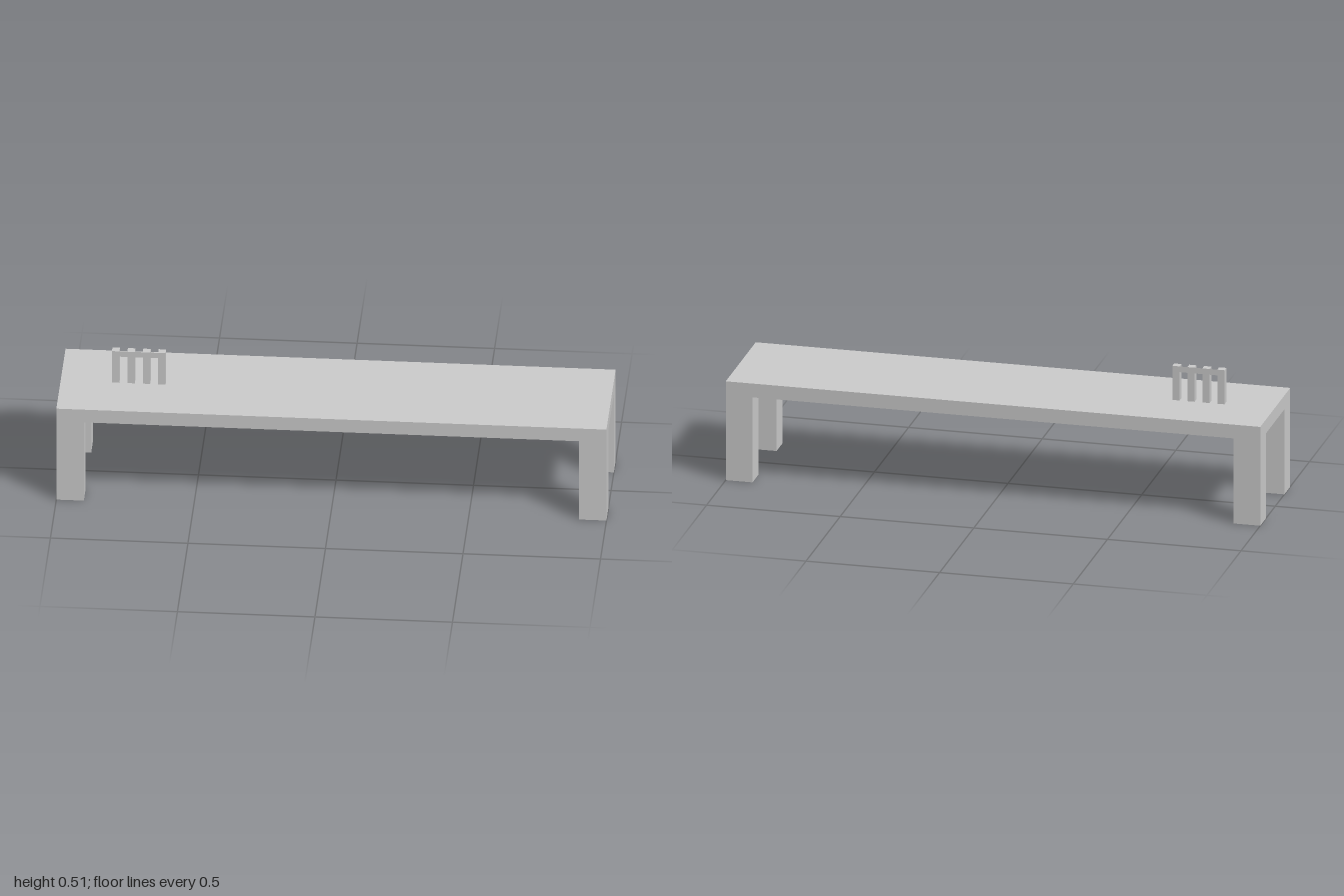
import * as THREE from 'three';

export function createModel() {
  const group = new THREE.Group();
  const material = new THREE.MeshStandardMaterial({ color: 0xcccccc, flatShading: true });

  const add = (name, geometry, x, y, z) => {
    const mesh = new THREE.Mesh(geometry, material);
    mesh.name = name;
    mesh.position.set(x, y, z);
    group.add(mesh);
    return mesh;
  };
  const box = (name, w, h, d, x, bottom, z) =>
    add(name, new THREE.BoxGeometry(w, h, d), x, bottom + h / 2, z);

  // Long flat seat slab
  const width = 2, depth = 0.438, seatBottom = 0.327, seatTop = 0.38;
  box('seat', width, seatTop - seatBottom, depth, 0, seatBottom, 0);

  // Four corner legs, flush with the seat edges
  const legW = 0.1, legD = 0.086;
  for (const sx of [1, -1]) {
    for (const sz of [1, -1]) {
      const name = (sz > 0 ? 'front' : 'back') + (sx > 0 ? 'Left' : 'Right') + 'Leg';
      box(name, legW, seatBottom, legD, sx * (width - legW) / 2, 0, sz * (depth - legD) / 2);
    }
  }

  // Small railing: four square posts standing on the seat
  const postSize = 0.027, railTop = 0.511, railH = 0.022;
  const firstX = -0.8, step = 0.056;
  for (let i = 0; i < 4; i++) {
    box('railingPost', postSize, railTop - seatTop, postSize, firstX + i * step, seatTop, 0);
  }

  // Rail faces joining the posts front and back, open along the top
  for (let i = 0; i < 3; i++) {
    for (const side of [1, -1]) {
      const panel = add('railingTopRail', new THREE.PlaneGeometry(step - postSize, railH),
        firstX + (i + 0.5) * step, railTop - railH / 2, side * postSize / 2);
      if (side < 0) panel.rotation.y = Math.PI;
    }
  }

  return group;
}
